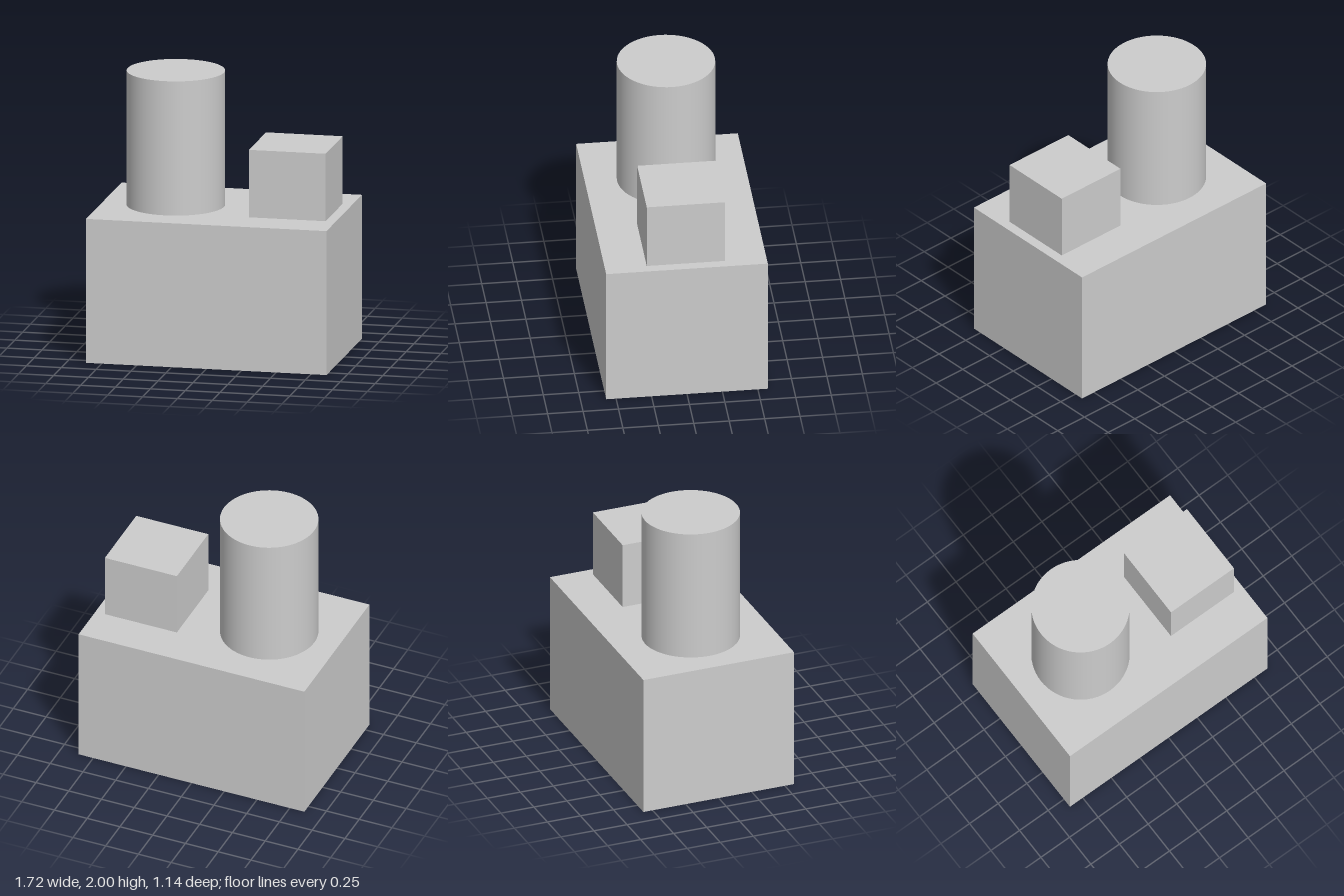
import * as THREE from 'three';

export function createModel() {
  const model = new THREE.Group();
  const grey = new THREE.MeshStandardMaterial({ color: 0xcccccc });
  grey.name = 'light grey';

  const baseTop = 1.035;

  // Adds a part standing with its underside at y = bottom
  const addPart = (name, geometry, x, bottom, height) => {
    const mesh = new THREE.Mesh(geometry, grey);
    mesh.name = name;
    mesh.position.set(x, bottom + height / 2, 0);
    model.add(mesh);
  };

  // Large block that carries the other two parts
  addPart('baseBlock', new THREE.BoxGeometry(1.724, baseTop, 1.14), 0, 0, baseTop);

  // Tall round column on the right half
  const columnHeight = 2 - baseTop;
  addPart('column', new THREE.CylinderGeometry(0.345, 0.345, columnHeight, 64), -0.345, baseTop, columnHeight);

  // Small square block on the left half
  const blockHeight = 0.485;
  addPart('smallBlock', new THREE.BoxGeometry(0.55, blockHeight, 0.55), 0.515, baseTop, blockHeight);

  return model;
}
